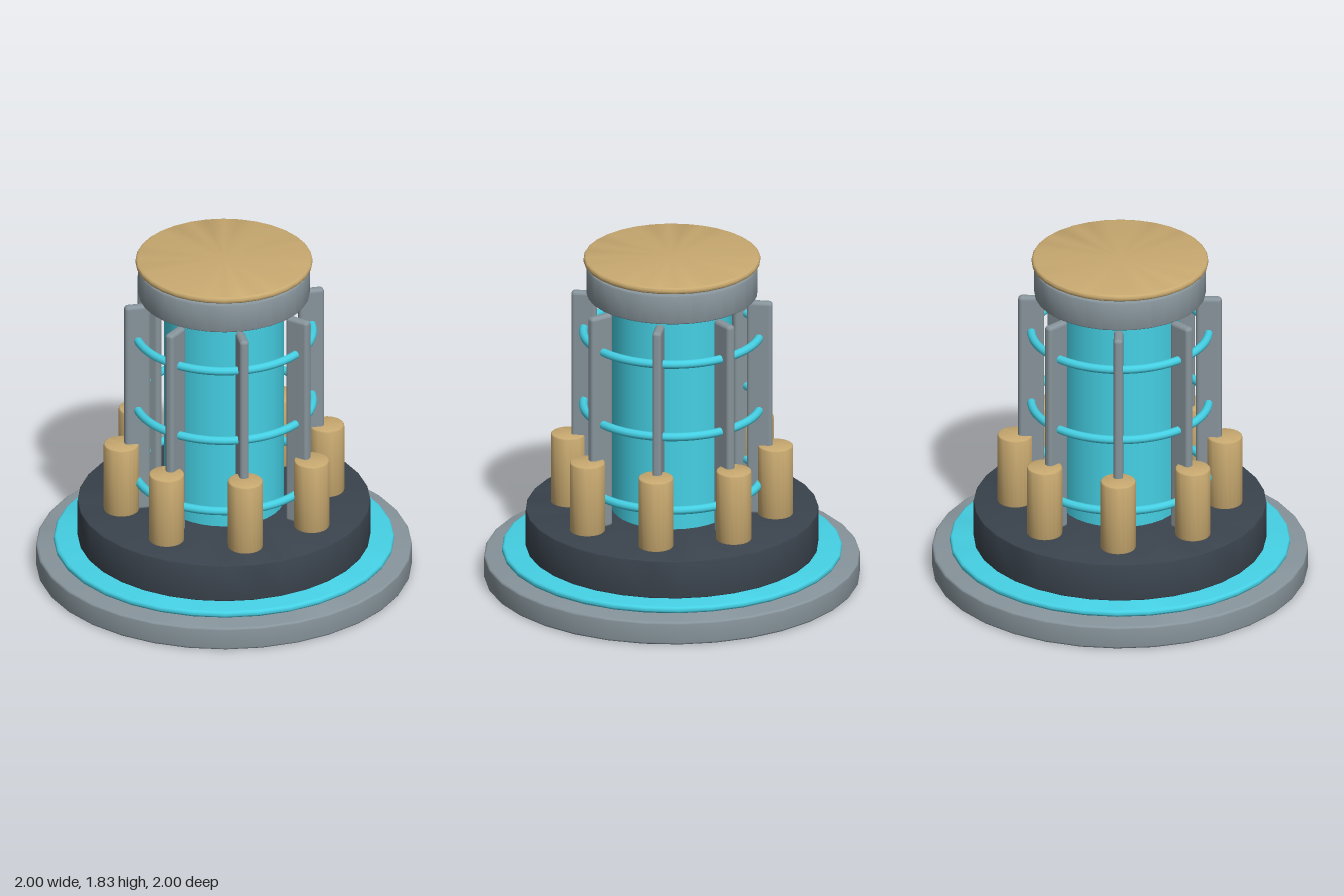
import * as THREE from 'three';
import { toCreasedNormals } from 'three/addons/utils/BufferGeometryUtils.js';
import { RoundedBoxGeometry } from 'three/addons/geometries/RoundedBoxGeometry.js';

const paint = (color) => new THREE.MeshStandardMaterial({ color });

// Closed disc or drum from y0 to y1 with rounded rims
function drum(radius, y0, y1, bevel, sides = 32) {
  const points = [new THREE.Vector2(0, y0)];
  const steps = 4;
  for (const [cy, start] of [[y0 + bevel, -Math.PI / 2], [y1 - bevel, 0]]) {
    for (let i = 0; i <= steps; i++) {
      const a = start + (i / steps) * Math.PI / 2;
      const r = radius - bevel + bevel * Math.cos(a);
      points.push(new THREE.Vector2(r, cy + bevel * Math.sin(a)));
    }
  }
  points.push(new THREE.Vector2(0, y1));
  return toCreasedNormals(new THREE.LatheGeometry(points, sides), 0.6);
}

export function createModel() {
  const model = new THREE.Group();
  const grey = paint(0x87949b);
  const cyan = paint(0x45d0e4);
  const dark = paint(0x3a434d);
  const gold = paint(0xc8a970);

  const add = (name, geometry, material, parent = model) => {
    const mesh = new THREE.Mesh(geometry, material);
    mesh.name = name;
    parent.add(mesh);
    return mesh;
  };

  // Stacked base
  add('basePlate', drum(1, 0, 0.128, 0.012), grey);
  add('glowDisc', drum(0.905, 0.139, 0.177, 0.017), cyan);
  add('deck', drum(0.778, 0.176, 0.39, 0.006), dark);

  // Central column with its cap and lid
  add('core', new THREE.CylinderGeometry(0.32, 0.32, 1.24, 32).translate(0, 1.0, 0), cyan);
  add('cap', drum(0.456, 1.615, 1.781, 0.01), grey);
  add('lid', drum(0.471, 1.792, 1.829, 0.016), gold);

  // Rings around the column
  const ringGeometry = new THREE.TorusGeometry(0.472, 0.023, 10, 64).rotateX(Math.PI / 2);
  [0.56, 0.98, 1.395].forEach((y, i) => {
    add(`ring${i + 1}`, ringGeometry, cyan).position.y = y;
  });

  // Eight radial fins, each with a post at its foot
  const finGeometry = new RoundedBoxGeometry(0.138, 1.215, 0.05, 3, 0.02);
  const postGeometry = drum(0.094, 0.385, 0.782, 0.01, 24);
  for (let i = 0; i < 8; i++) {
    const spoke = new THREE.Group();
    spoke.name = `spoke${i + 1}`;
    spoke.rotation.y = (i / 8) * Math.PI * 2;
    add('fin', finGeometry, grey, spoke).position.set(0.472, 0.992, 0);
    add('post', postGeometry, gold, spoke).position.x = 0.557;
    model.add(spoke);
  }

  return model;
}
